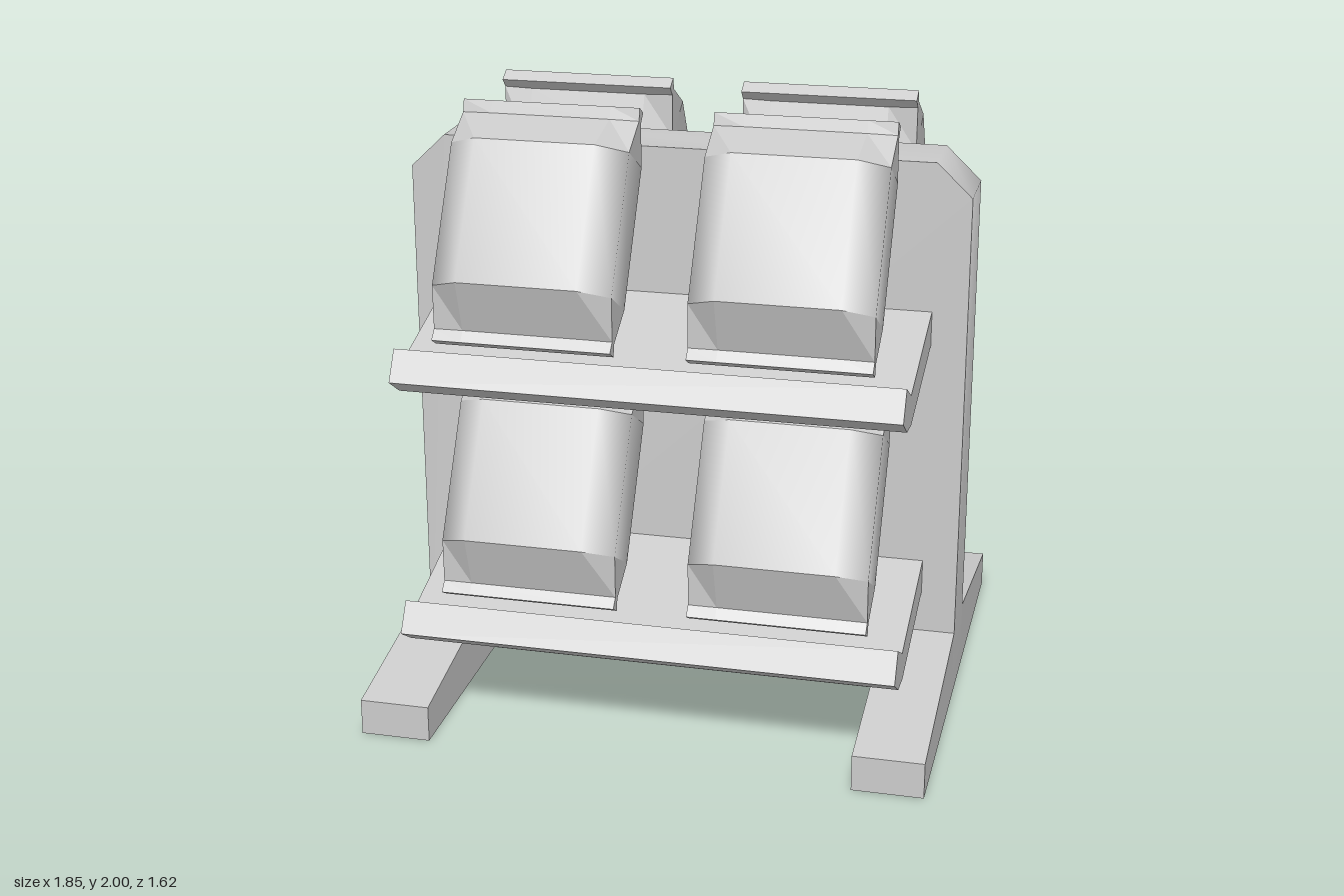
import * as THREE from 'three';
import { mergeGeometries, toCreasedNormals } from 'three/addons/utils/BufferGeometryUtils.js';

const material = new THREE.MeshStandardMaterial({ color: 0xcccccc });

function part(name, geometry, x = 0, y = 0, z = 0) {
  const mesh = new THREE.Mesh(geometry, material);
  mesh.name = name;
  mesh.position.set(x, y, z);
  return mesh;
}

// Extrudes an outline, centred on its depth
function extrude(points, depth) {
  const shape = new THREE.Shape(points.map(([a, b]) => new THREE.Vector2(a, b)));
  return new THREE.ExtrudeGeometry(shape, { depth, bevelEnabled: false }).translate(0, 0, -depth / 2);
}

// Side profile given as (z, y), extruded along x
const sideProfile = (points, width) => extrude(points, width).rotateY(-Math.PI / 2);

// Eight-sided ring: half thickness t in the middle, s at the left and right edges
function ring([y, t, s]) {
  const w = 0.29, f = 0.195;
  return [[-f, t], [f, t], [w, s], [w, -s], [f, -t], [-f, -t], [-w, -s], [-w, s]]
    .map(([x, z]) => [x, y, z]);
}

// Band of quads between two rings, smooth or faceted around the ring
function band(lower, upper, smooth) {
  const n = lower.length, index = [];
  for (let i = 0; i < n; i++) {
    const j = (i + 1) % n;
    index.push(i, j, n + i, j, n + j, n + i);
  }
  const indexed = new THREE.BufferGeometry();
  indexed.setAttribute('position', new THREE.Float32BufferAttribute([...lower, ...upper].flat(), 3));
  indexed.setIndex(index);
  if (smooth) indexed.computeVertexNormals();
  const geometry = indexed.toNonIndexed();
  if (!smooth) geometry.computeVertexNormals();
  return geometry;
}

// Pillow bag: rounded body, tapered ends and flared crimped seals
function bagGeometry() {
  const half = [[0.232, 0.155, 0.088], [0.355, 0.018, 0.014], [0.395, 0.025, 0.025], [0.395, 0, 0]];
  const rows = [...half.map(([y, t, s]) => [-y, t, s]).reverse(), ...half];
  const bands = [];
  for (let i = 0; i < rows.length - 1; i++) {
    bands.push(band(ring(rows[i]), ring(rows[i + 1]), i === 3));
  }
  return mergeGeometries(bands);
}

export function createModel() {
  const model = new THREE.Group();
  model.name = 'displayRack';

  // Central upright board with clipped top corners
  const board = extrude([[-0.925, 0], [0.925, 0], [0.925, 1.74], [0.81, 1.85], [-0.81, 1.85], [-0.925, 1.74]], 0.23);
  model.add(part('uprightBoard', toCreasedNormals(board, 0.9)));

  const foot = sideProfile([[0.115, 0], [0.81, 0], [0.81, 0.12], [0.115, 0.235]], 0.23);
  const shelf = sideProfile([[0.115, 0.375], [0.535, 0.262], [0.63, 0.272], [0.72, 0.33],
    [0.663, 0.424], [0.56, 0.366], [0.115, 0.49]], 1.62);
  const bag = bagGeometry();

  // The same feet, shelves and bags on the front and the back
  for (const [name, turn] of [['frontSide', 0], ['backSide', Math.PI]]) {
    const side = new THREE.Group();
    side.name = name;
    side.rotation.y = turn;
    for (const x of [-0.81, 0.81]) side.add(part('foot', foot, x));
    for (const lift of [0, 0.87]) {
      side.add(part('shelf', shelf, 0, lift));
      for (const x of [-0.41, 0.41]) {
        const mesh = part('bag', bag, x, 0.775 + lift, 0.4);
        mesh.rotation.x = -Math.PI / 6;
        side.add(mesh);
      }
    }
    model.add(side);
  }
  return model;
}
